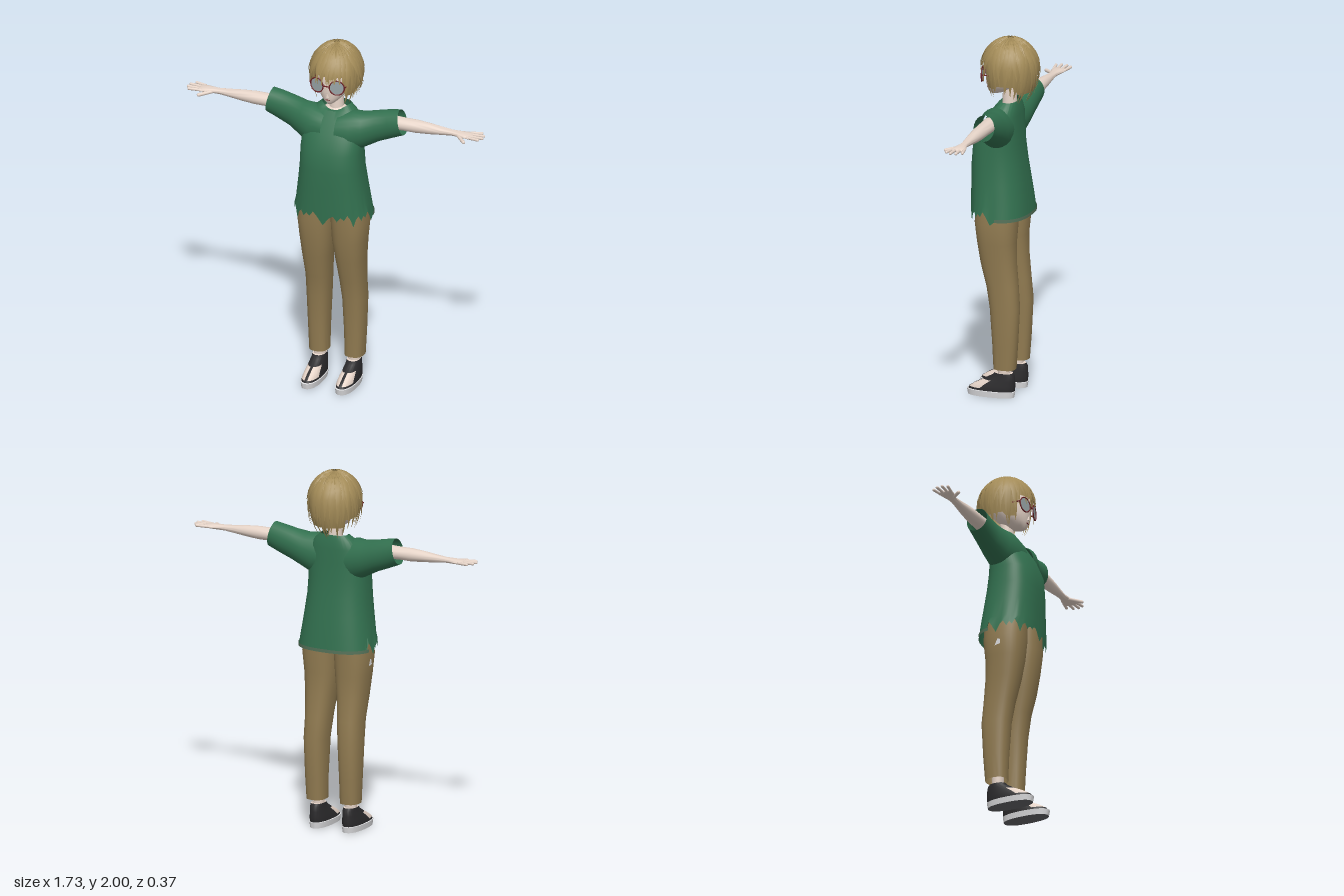
import * as THREE from 'three';
import { mergeGeometries, toCreasedNormals } from 'three/addons/utils/BufferGeometryUtils.js';

const paint = (name, color, side = THREE.FrontSide) => {
  const m = new THREE.MeshStandardMaterial({ color, side });
  m.name = name;
  return m;
};
const V = (x, y, z) => new THREE.Vector3(x, y, z);
const lerp = THREE.MathUtils.lerp;
const TAU = Math.PI * 2;

// Skin a list of equally long point rings; pick(row, column) gives a material index.
function loft(rings, { closed = true, pick = null, crease = 1 } = {}) {
  const n = rings[0].length, cols = closed ? n : n - 1, buckets = [[], []];
  for (let r = 0; r < rings.length - 1; r++) for (let i = 0; i < cols; i++) {
    const a = r * n + i, b = r * n + (i + 1) % n;
    buckets[pick ? pick(r, i) : 0].push(a, a + n, b, b, a + n, b + n);
  }
  const g = new THREE.BufferGeometry().setFromPoints(rings.flat());
  g.setIndex(buckets.flat());
  if (pick) {
    g.addGroup(0, buckets[0].length, 0);
    g.addGroup(buckets[0].length, buckets[1].length, 1);
  }
  return toCreasedNormals(g, crease);
}
const bend = (v, e) => Math.sign(v) * Math.abs(v) ** e;

// Level oval ring running from +x towards +z.
function oval(y, cx, w, zf, zb, n = 32, e = 0.85) {
  return Array.from({ length: n }, (_, i) => {
    const t = i / n * TAU;
    return V(cx + w * bend(Math.cos(t), e), y, (zf + zb) / 2 + (zf - zb) / 2 * bend(Math.sin(t), e));
  });
}
// Upright oval ring for parts running along +x.
function armRing(x, top, bottom, zf, zb, slant = 0, n = 24) {
  return Array.from({ length: n }, (_, i) => {
    const t = i / n * TAU, c = Math.cos(t);
    return V(x - slant * c, (top + bottom) / 2 + (top - bottom) / 2 * c, (zf + zb) / 2 - (zf - zb) / 2 * Math.sin(t));
  });
}

export function createModel() {
  const skin = paint('skin', 0xe6d4c8), hairMat = paint('hair', 0xa48c58, THREE.DoubleSide);
  const green = paint('shirt green', 0x32704f, THREE.DoubleSide), hem = paint('hem green', 0x56735a, THREE.DoubleSide);
  const tan = paint('trouser brown', 0x917b51, THREE.DoubleSide), black = paint('shoe black', 0x2b2a2c);
  const white = paint('sole white', 0xdcdcde, THREE.DoubleSide), grey = paint('sole grey', 0x626266);
  const red = paint('frame red', 0x6e2226), glass = paint('lens grey', 0x98a4a6, THREE.DoubleSide);
  const model = new THREE.Group();
  const add = (name, geo, mat, parent = model) => {
    const m = new THREE.Mesh(geo, mat);
    m.name = name;
    parent.add(m);
    return m;
  };
  let seed = 7;
  const rand = () => (seed = (seed * 16807) % 2147483647) / 2147483647;

  // Shirt body: torn zigzag hem in front, V neckline on top
  const body = [[1.0, .215, .185, -.135], [1.09, .203, .186, -.126], [1.2, .188, .186, -.11], [1.3, .176, .186, -.095],
    [1.4, .172, .178, -.082], [1.5, .168, .135, -.076], [1.57, .15, .09, -.072], [1.615, .115, .06, -.068], [1.645, .08, .038, -.06]]
    .map(([y, w, f, b]) => oval(y, 0, w, f, b, 64, .8));
  const tear = [-.01, .035, .06, .03, .045, .02, .05, .035];
  body[0].forEach((p, i) => { p.y = i <= 34 ? 1.0 + tear[i % 8] : 1.01; });
  body.at(-1).forEach((p, i) => { p.y -= .032 * Math.max(0, Math.sin(i / 64 * TAU)) ** 4; });
  add('shirtBody', loft(body), green);
  const band = y => oval(y, 0, .2165, .1865, -.1375, 64, .8).slice(34);
  add('backHem', loft([band(1.008), band(1.026)], { closed: false }), hem);

  // Neck, chest and head
  add('neck', new THREE.CylinderGeometry(.036, .042, .16, 24), skin).position.set(0, 1.65, -.01);
  const chest = add('upperChest', new THREE.SphereGeometry(1, 24, 16), skin);
  chest.scale.set(.078, .045, .058);
  chest.position.set(0, 1.587, -.01);
  const head = new THREE.Group();
  head.name = 'head';
  model.add(head);
  add('face', loft([[1.672, 0, .085, .085], [1.674, .016, .1, .055], [1.688, .036, .109, .01], [1.712, .061, .116, -.03], [1.75, .083, .12, -.07],
    [1.8, .094, .123, -.11], [1.86, .1, .12, -.12], [1.92, .09, .09, -.1], [1.965, .03, .03, -.05]]
    .map(([y, w, f, b]) => oval(y, 0, w, f, b, 32, .95)), { crease: 2 }), skin, head);
  const nose = add('nose', new THREE.ConeGeometry(.01, .03, 8), skin, head);
  nose.position.set(0, 1.737, .121);
  nose.rotation.x = .25;
  add('mouth', new THREE.BoxGeometry(.026, .003, .004), red, head).position.set(0, 1.704, .115);

  // Round glasses
  const glasses = new THREE.Group();
  glasses.name = 'glasses';
  head.add(glasses);
  for (const s of [1, -1]) {
    const eye = new THREE.Group();
    eye.name = 'eyepiece';
    eye.position.set(s * .058, 1.79, .127);
    eye.rotation.y = s * .25;
    glasses.add(eye);
    add('lens', new THREE.CircleGeometry(.041, 32), glass, eye);
    add('rim', new THREE.TorusGeometry(.041, .0035, 8, 32), red, eye);
    const temple = add('temple', new THREE.BoxGeometry(.004, .006, .12), red, glasses);
    temple.position.set(s * .103, 1.797, .058);
  }
  add('bridge', new THREE.BoxGeometry(.03, .005, .005), red, glasses).position.set(0, 1.793, .136);

  // Hair: a cap plus layered pointed locks, all on one egg-shaped surface
  const hairPoint = (a, p, k) => {
    const c = Math.cos(p), r = Math.sin(p) * k;
    return V(Math.cos(a) * r * .137, 1.845 + c * (c > 0 ? .148 * k : .25), Math.sin(a) * r * .15 - .014);
  };
  const polarOf = y => Math.acos((y - 1.845) / (y > 1.845 ? .148 : .25));
  const hairEnd = a => {
    const f = Math.sin(a);
    return f > .72 ? 1.81 : f > .3 ? 1.69 : f > -.6 ? 1.71 : 1.665;
  };
  const capRows = Array.from({ length: 13 }, (_, r) => Array.from({ length: 48 }, (_, i) => {
    const a = i / 48 * TAU;
    return hairPoint(a, polarOf(hairEnd(a) + .035) * (1 - r / 12), .97);
  }));
  const lock = (a, p0, p1, w, lift, twist) => loft(Array.from({ length: 8 }, (_, k) => {
    const t = k / 7, ang = a + twist * t * t;
    const c = hairPoint(ang, lerp(p0, p1, t), .97 + lift * t * t);
    const half = w * Math.min(1, .35 + t * 2) * (1 - t ** 2.5);
    const side = V(-Math.sin(ang), 0, Math.cos(ang)).multiplyScalar(half);
    const out = V(Math.cos(ang) * Math.sin(p0 + (p1 - p0) * t), Math.cos(lerp(p0, p1, t)), Math.sin(ang) * Math.sin(lerp(p0, p1, t)))
      .multiplyScalar(.009 * (1 - t));
    return [c.clone().add(side), c.clone().add(out), c.clone().sub(side), c.clone().sub(out)];
  }), { crease: .9 });
  const locks = [loft(capRows, { crease: 2 })];
  for (const [count, raise, lift, w, p0] of [[34, 0, .05, .019, .5], [26, .045, .13, .021, .3], [20, .1, .1, .022, .12]]) {
    for (let i = 0; i < count; i++) {
      const a = (i + rand() * .6) / count * TAU;
      const end = hairEnd(a) + raise * (Math.sin(a) > .72 ? .35 : 1) - .015 + (rand() - .5) * .04;
      locks.push(lock(a, p0, polarOf(end), w, lift + rand() * .08, (rand() - .5) * .5));
    }
  }
  add('hair', mergeGeometries(locks), hairMat, head);

  // One arm and one leg, mirrored to the other side
  const limbs = new THREE.Group();
  limbs.name = 'leftLimbs';
  add('sleeve', loft([[.04, 1.6, 1.4, .13, -.065], [.12, 1.625, 1.39, .122, -.07], [.18, 1.622, 1.425, .098, -.071],
    [.25, 1.635, 1.463, .068, -.069], [.32, 1.65, 1.492, .057, -.067], [.385, 1.66, 1.52, .054, -.065]]
    .map(([x, t, b, f, k]) => armRing(x, t, b, f, k, x * .04))), green, limbs);
  add('arm', loft([[.28, .04, .042], [.4, .035, .04], [.47, .036, .037], [.55, .03, .031], [.62, .022, .024], [.68, .016, .02],
    [.715, .015, .026], [.75, .013, .037], [.785, .011, .041], [.797, .006, .034], [.8, 0, 0]]
    .map(([x, h, d]) => armRing(x, 1.583 + h, 1.583 - h, d - .003, -d - .003))), skin, limbs);
  const finger = (name, from, to, r) => {
    const d = to.clone().sub(from);
    const m = add(name, new THREE.CapsuleGeometry(r, d.length(), 4, 10), skin, limbs);
    m.position.copy(from).addScaledVector(d, .5);
    m.quaternion.setFromUnitVectors(V(0, 1, 0), d.normalize());
  };
  [[-.034, .833], [-.012, .854], [.011, .857], [.031, .843]].forEach(([z, x]) =>
    finger('finger', V(.775, 1.584, z - .003), V(x, 1.586, z * 1.35 - .003), .008));
  finger('thumb', V(.715, 1.58, .012), V(.773, 1.574, .07), .0095);

  // Trouser leg
  add('trouserLeg', loft([[.16, .05, .156, .04, -.082], [.3, .048, .162, .046, -.092], [.5, .04, .168, .06, -.102], [.62, .03, .167, .08, -.092],
    [.75, .018, .176, .113, -.08], [.87, .003, .187, .133, -.078], [.98, -.002, .197, .145, -.088], [1.1, -.002, .18, .145, -.085]]
    .map(([y, i, o, f, b]) => oval(y, (i + o) / 2, (o - i) / 2, f, b, 32, .8))), tan, limbs);

  // Ankle and strapped shoe
  add('ankle', new THREE.CylinderGeometry(.034, .032, .14, 20), skin, limbs).position.set(.1, .135, -.015);
  const inPatch = i => (i >= 3 && i <= 10) || (i >= 13 && i <= 20);
  add('shoeUpper', loft([[.028, .049, .19, -.072], [.045, .049, .182, -.076], [.066, .046, .15, -.077], [.092, .041, .098, -.076],
    [.118, .037, .052, -.074], [.135, .035, .035, -.064], [.135, 0, -.015, -.015]]
    .map(([y, w, f, b]) => oval(y, .1, w, f, b, 48, .85)),
  { pick: (r, i) => ((r === 1 || r === 2) && inPatch(i)) || r === 5 ? 1 : 0 }), [black, skin], limbs);
  add('shoeSole', loft([[0, 0, .06, .06], [0, .049, .19, -.072], [.032, .053, .196, -.077], [.034, .049, .19, -.073], [.034, 0, .06, .06]]
    .map(([y, w, f, b]) => oval(y, .1, w, f, b, 48, .85)), { pick: r => (r === 0 ? 1 : 0), crease: .6 }), [white, grey], limbs);

  const rightLimbs = limbs.clone();
  rightLimbs.name = 'rightLimbs';
  rightLimbs.scale.x = -1;
  model.add(limbs, rightLimbs);

  // Small pale tear on the right hip
  const tearShape = new THREE.Shape([new THREE.Vector2(-.02, -.02), new THREE.Vector2(.014, -.012), new THREE.Vector2(.012, .012), new THREE.Vector2(-.002, .02)]);
  const hipTear = add('hipTear', new THREE.ShapeGeometry(tearShape), white);
  hipTear.position.set(-.196, .94, .03);
  hipTear.rotation.set(0, -Math.PI / 2, 0);
  return model;
}
